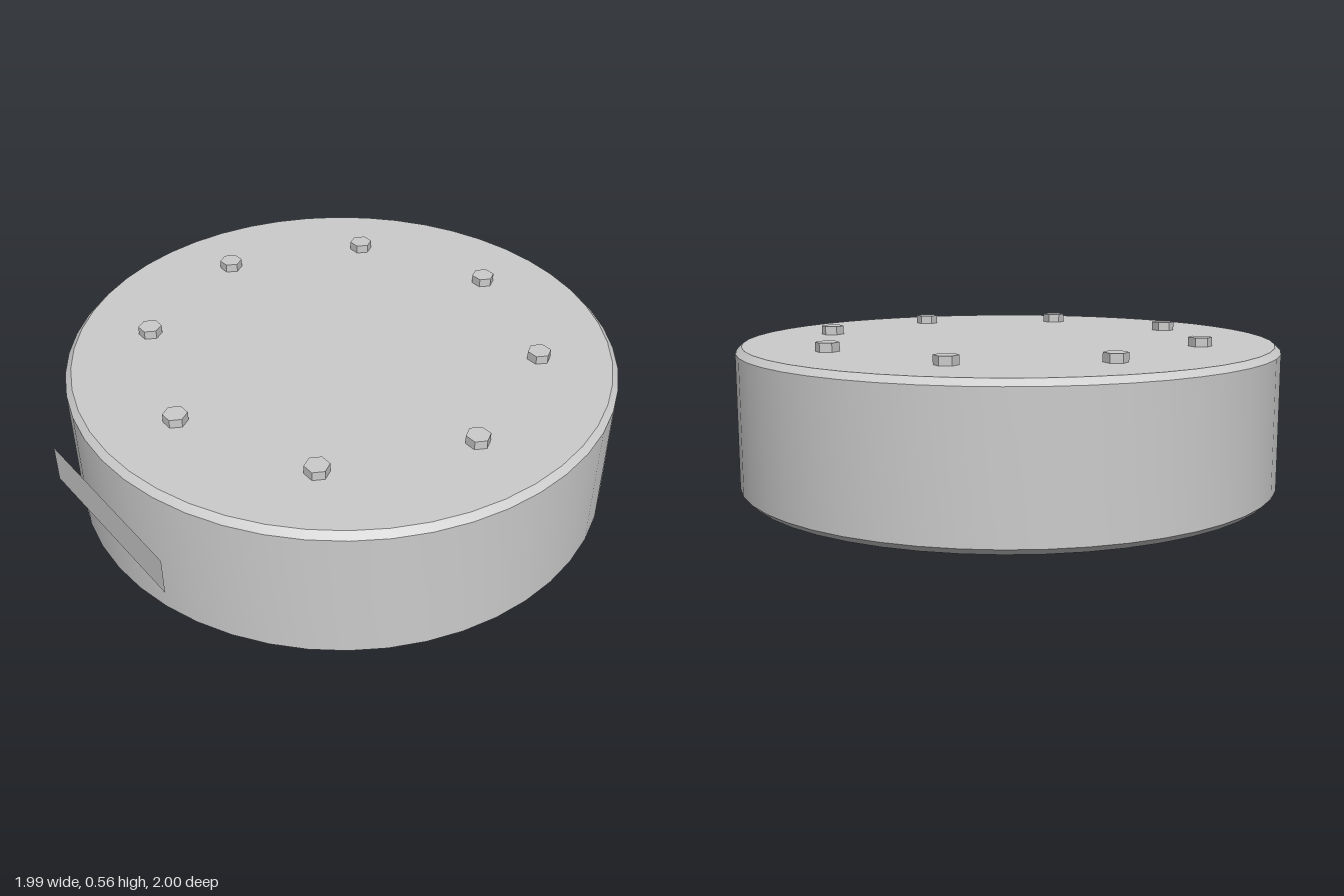
import * as THREE from 'three';
import { toCreasedNormals } from 'three/addons/utils/BufferGeometryUtils.js';

const RADIUS = 0.993, HEIGHT = 0.533, BEVEL = 0.022;
const BOLTS = 8, BOLT_CIRCLE = 0.71, BOLT_RADIUS = 0.0425, BOLT_HEIGHT = 0.032;

export function createModel() {
  const model = new THREE.Group();
  model.name = 'boltedDisc';
  const grey = new THREE.MeshStandardMaterial({ color: 0xcccccc });
  const thinGrey = new THREE.MeshStandardMaterial({ color: 0xcccccc, side: THREE.DoubleSide });

  // The disc sits slightly back so that the label in front of it reaches z = 1
  const disc = new THREE.Group();
  disc.name = 'disc';
  disc.position.z = -0.007;
  model.add(disc);

  // Solid drum with chamfered rims
  const profile = [
    [0, 0], [RADIUS - BEVEL, 0], [RADIUS, BEVEL],
    [RADIUS, HEIGHT - BEVEL], [RADIUS - BEVEL, HEIGHT], [0, HEIGHT],
  ].map(([r, y]) => new THREE.Vector2(r, y));
  const drum = new THREE.Mesh(toCreasedNormals(new THREE.LatheGeometry(profile, 48), 0.5), grey);
  drum.name = 'drum';
  disc.add(drum);

  // Ring of hexagonal bolt heads, all turned the same way
  const boltGeometry = toCreasedNormals(
    new THREE.CylinderGeometry(BOLT_RADIUS, BOLT_RADIUS, BOLT_HEIGHT, 6).rotateY(Math.PI / 6), 0.5);
  for (let i = 0; i < BOLTS; i++) {
    const angle = (i / BOLTS) * Math.PI * 2;
    const bolt = new THREE.Mesh(boltGeometry, grey);
    bolt.name = 'bolt' + (i + 1);
    bolt.position.set(Math.cos(angle) * BOLT_CIRCLE, HEIGHT + BOLT_HEIGHT / 2, Math.sin(angle) * BOLT_CIRCLE);
    disc.add(bolt);
  }

  // Flat, thin label panel just in front of the drum
  const label = new THREE.Mesh(new THREE.PlaneGeometry(0.71, 0.142), thinGrey);
  label.name = 'labelPanel';
  label.position.set(0, 0.27, 1);
  model.add(label);

  return model;
}
